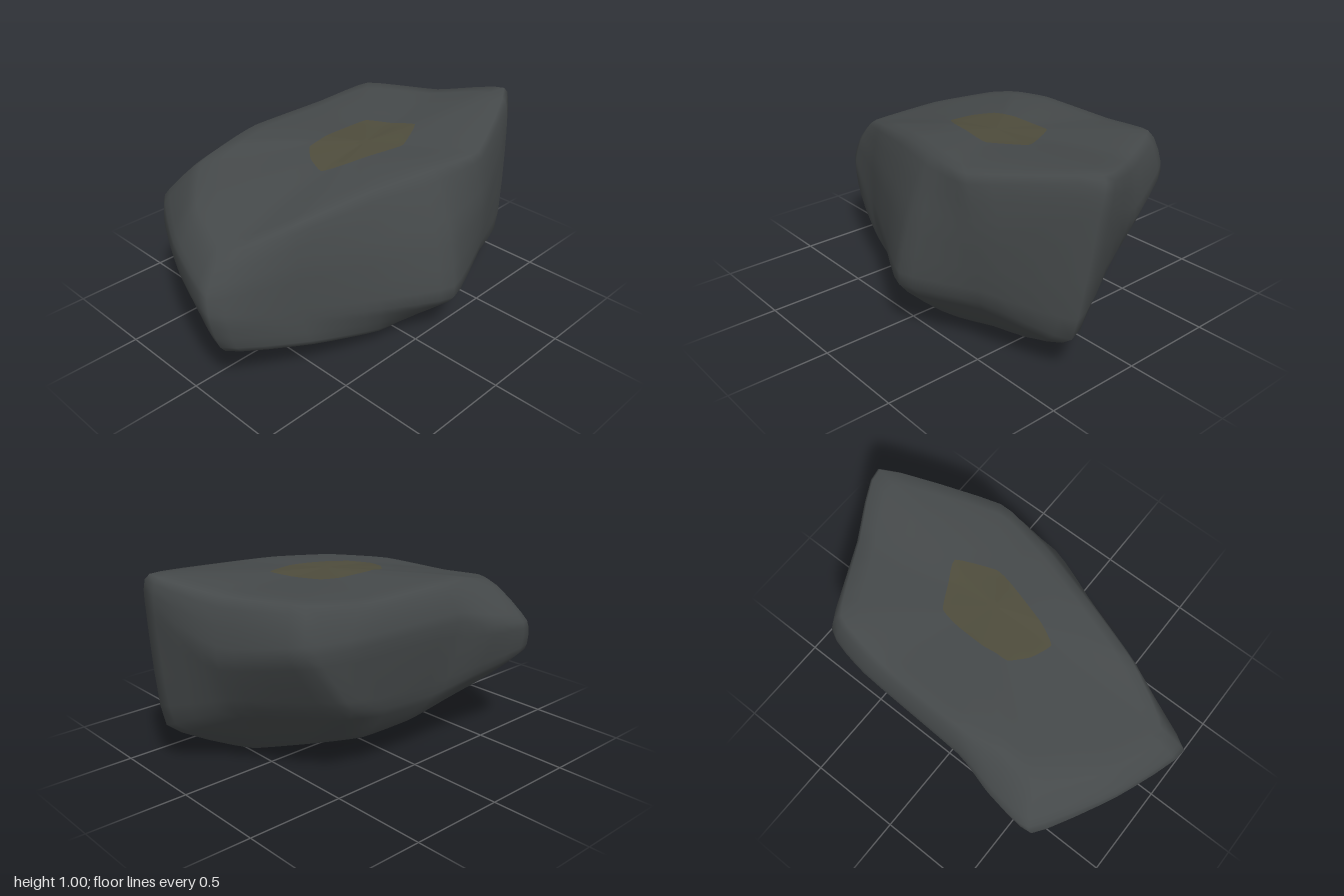
import * as THREE from 'three';
import { mergeVertices } from 'three/addons/utils/BufferGeometryUtils.js';

const COLS = 52; // samples around the boulder
const STEPS = 4; // samples between two neighbouring rings

// Rings of corner points, from the left tip round by the front, right and back
const topRim = [
  [-0.85, 0.72, 0.1], [-0.55, 0.81, 0.26], [-0.2, 0.87, 0.36], [0.13, 0.895, 0.45],
  [0.42, 0.905, 0.49], [0.97, 1.0, 0.23], [0.82, 0.94, -0.1], [0.63, 0.935, -0.45],
  [0.32, 0.9, -0.51], [-0.13, 0.9, -0.52], [-0.34, 0.885, -0.49],
  [-0.53, 0.84, -0.47], [-0.74, 0.78, -0.23],
];
const upperBelt = [
  [-0.98, 0.58, 0.13], [-0.6, 0.6, 0.3], [-0.25, 0.6, 0.44], [0.12, 0.61, 0.58],
  [0.51, 0.65, 0.505], [0.985, 0.82, 0.26], [0.865, 0.66, -0.11], [0.685, 0.73, -0.5],
  [0.42, 0.73, -0.565], [-0.18, 0.72, -0.59], [-0.4, 0.67, -0.64],
  [-0.64, 0.64, -0.645], [-0.87, 0.63, -0.26],
];
const lowerBelt = [
  [-1.0, 0.46, 0.16], [-0.6, 0.35, 0.32], [-0.25, 0.3, 0.48], [0.1, 0.28, 0.645],
  [0.5, 0.3, 0.49], [0.9, 0.22, 0.3], [0.75, 0.37, -0.05], [0.47, 0.41, -0.48],
  [0.2, 0.36, -0.5], [-0.12, 0.34, -0.5], [-0.37, 0.4, -0.56],
  [-0.655, 0.48, -0.63], [-0.87, 0.47, -0.24],
];
const bottomEdge = [
  [-0.93, 0.26, 0.16], [-0.55, 0.18, 0.33], [-0.18, 0.1, 0.41], [0.16, 0.04, 0.39],
  [0.38, 0.04, 0.3], [0.49, 0.0, 0.2], [0.46, 0.06, 0.02], [0.37, 0.13, -0.2],
  [0.22, 0.17, -0.36], [-0.06, 0.19, -0.4], [-0.3, 0.23, -0.41],
  [-0.5, 0.29, -0.44], [-0.78, 0.3, -0.16],
];

// Smooth closed loop through one ring of corners
function sampleRing(points) {
  const curve = new THREE.CatmullRomCurve3(
    points.map((p) => new THREE.Vector3(...p)), true, 'catmullrom', 0.22);
  return Array.from({ length: COLS }, (_, i) => curve.getPoint(i / COLS));
}

function buildSurface() {
  const topCentre = new THREE.Vector3(0.1, 0.915, 0.04);
  const underCentre = new THREE.Vector3(0.05, 0.11, 0.02);
  const [rim, upper, lower, edge] = [topRim, upperBelt, lowerBelt, bottomEdge].map(sampleRing);
  const positions = [];
  const rows = 7 * STEPS;

  // One vertical strip per column, from the top centre to the underside centre
  for (let c = 0; c < COLS; c++) {
    // The top stays nearly level in the middle and drops towards its rim
    const cap = topCentre.clone().lerp(rim[c], 0.34);
    cap.y = THREE.MathUtils.lerp(topCentre.y, rim[c].y, 0.2);
    const strip = new THREE.CatmullRomCurve3([
      topCentre, cap, rim[c], upper[c], lower[c], edge[c],
      underCentre.clone().lerp(edge[c], 0.5),
      underCentre,
    ], false, 'catmullrom', 0.22);
    for (let r = 0; r <= rows; r++) positions.push(...strip.getPoint(r / rows).toArray());
  }

  // Faces row by row, so the patch on top comes first in the index
  const index = [];
  const id = (r, c) => (c % COLS) * (rows + 1) + r;
  for (let r = 0; r < rows; r++) {
    for (let c = 0; c < COLS; c++) {
      const a = id(r, c), b = id(r + 1, c), d = id(r + 1, c + 1), e = id(r, c + 1);
      if (r < rows - 1) index.push(a, b, d);
      else index.push(a, b, e);
      if (r > 0 && r < rows - 1) index.push(a, d, e);
    }
  }
  let geometry = new THREE.BufferGeometry();
  geometry.setAttribute('position', new THREE.Float32BufferAttribute(positions, 3));
  geometry.setIndex(index);
  geometry = mergeVertices(geometry, 1e-5);

  // Rest the lowest point on the ground
  geometry.computeBoundingBox();
  geometry.translate(0, -geometry.boundingBox.min.y, 0);
  geometry.computeVertexNormals();
  return geometry;
}

export function createModel() {
  const group = new THREE.Group();
  group.name = 'boulder';
  const surface = buildSurface();
  const index = Array.from(surface.index.array);
  const patchEnd = 3 * COLS * (1 + 2 * (STEPS - 1));

  function addPart(name, color, faces) {
    const geometry = surface.clone();
    geometry.setIndex(faces);
    const mesh = new THREE.Mesh(geometry, new THREE.MeshStandardMaterial({ color }));
    mesh.name = name;
    group.add(mesh);
  }

  addPart('ochreStain', 0x4e4c3c, index.slice(0, patchEnd));
  addPart('rock', 0x45494a, index.slice(patchEnd));
  return group;
}
